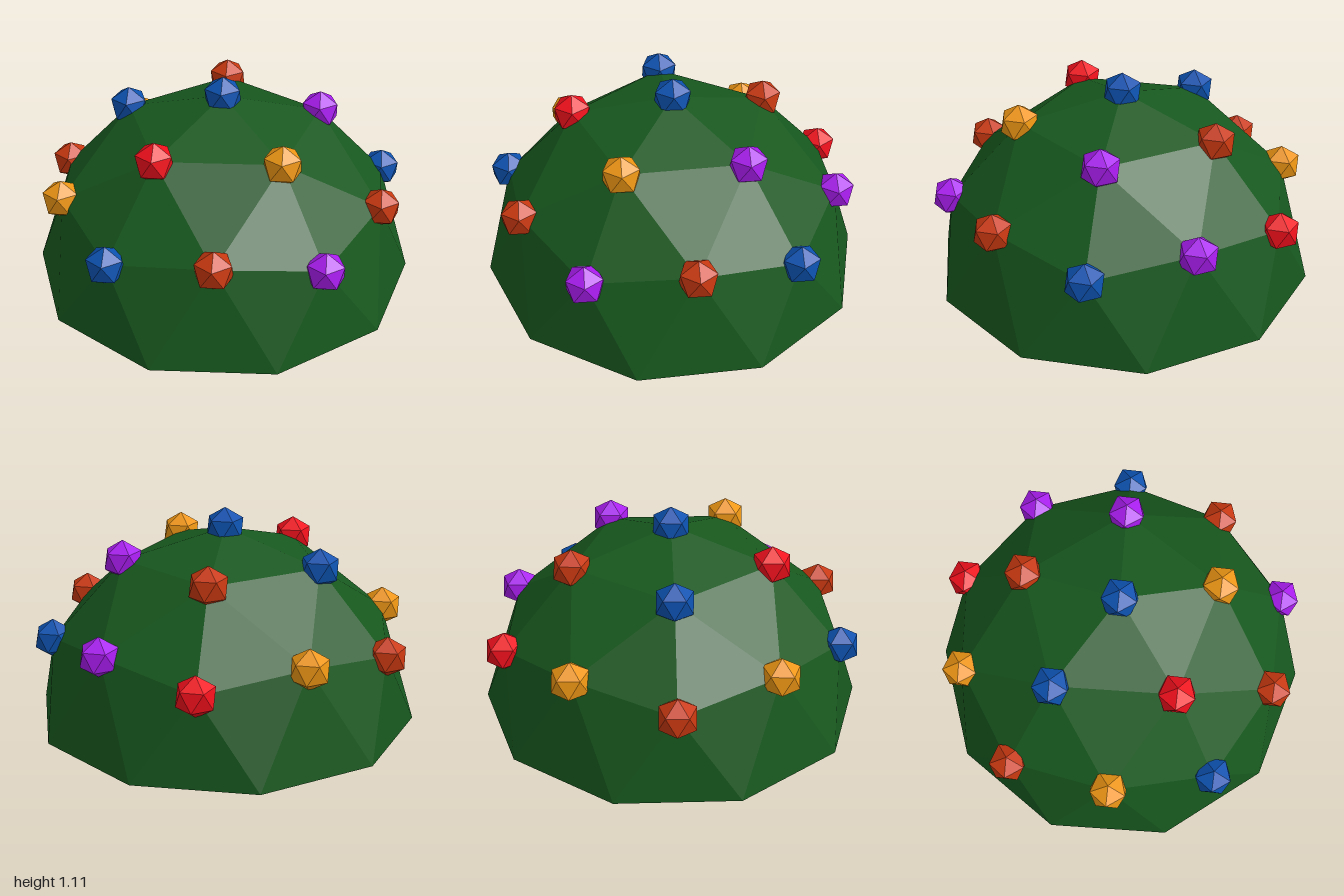
import * as THREE from 'three';

const RAD = Math.PI / 180;
const TURN = 2.8 * RAD; // turn of the dome about its upright axis
const GREEN = 0x17581e, BLUE = 0x0d52b0, RED = 0xf0101c;
const ORANGE = 0xee9614, PURPLE = 0xa81cee, RUST = 0xc83810;

const paint = (color) => new THREE.MeshStandardMaterial({ color, flatShading: true });

// Icosahedron with one corner pointing straight up
function uprightIcosahedron(radius, detail) {
  const g = new THREE.IcosahedronGeometry(radius, detail);
  return g.rotateX(-Math.atan2((1 + Math.sqrt(5)) / 2, 1));
}

// Upper half of a geodesic sphere: keep only the triangles above the ground
function domeGeometry() {
  const p = uprightIcosahedron(1, 1).rotateY(TURN).getAttribute('position');
  const kept = [];
  for (let i = 0; i < p.count; i += 3) {
    if (p.getY(i) + p.getY(i + 1) + p.getY(i + 2) < 0.01) continue;
    for (let j = i; j < i + 3; j++) kept.push(p.getX(j), Math.max(0, p.getY(j)), p.getZ(j));
  }
  const g = new THREE.BufferGeometry();
  g.setAttribute('position', new THREE.Float32BufferAttribute(kept, 3));
  g.computeVertexNormals();
  return g;
}

// Rings of baubles: angle from the top, first heading, colours in order
const RINGS = [
  { polar: 0, start: 0, colors: [BLUE] },
  { polar: 31.72, start: 15.2, colors: [PURPLE, ORANGE, RED, BLUE, RUST] },
  { polar: 58.28, start: 51.2, colors: [RUST, RUST, ORANGE, ORANGE, PURPLE] },
  { polar: 63.43, start: 15.2, colors: [BLUE, PURPLE, BLUE, RUST, RED] },
];

export function createModel() {
  const model = new THREE.Group();
  model.name = 'decoratedDome';

  const dome = new THREE.Mesh(domeGeometry(), paint(GREEN));
  dome.name = 'dome';
  model.add(dome);

  // Flat underside
  const base = new THREE.Mesh(new THREE.CircleGeometry(1, 10, -TURN).rotateX(Math.PI / 2), paint(GREEN));
  base.name = 'base';
  model.add(base);

  // A bauble on every corner of the dome above the ground
  const baubles = new THREE.Group();
  baubles.name = 'baubles';
  const ball = uprightIcosahedron(0.105, 0).rotateY(Math.PI);
  for (const { polar, start, colors } of RINGS) {
    colors.forEach((color, i) => {
      const a = (start + 72 * i) * RAD, t = polar * RAD;
      const bauble = new THREE.Mesh(ball, paint(color));
      bauble.name = 'bauble';
      bauble.position.set(Math.sin(t) * Math.cos(a), Math.cos(t), Math.sin(t) * Math.sin(a));
      baubles.add(bauble);
    });
  }
  model.add(baubles);

  model.position.z = -0.015;
  return model;
}
